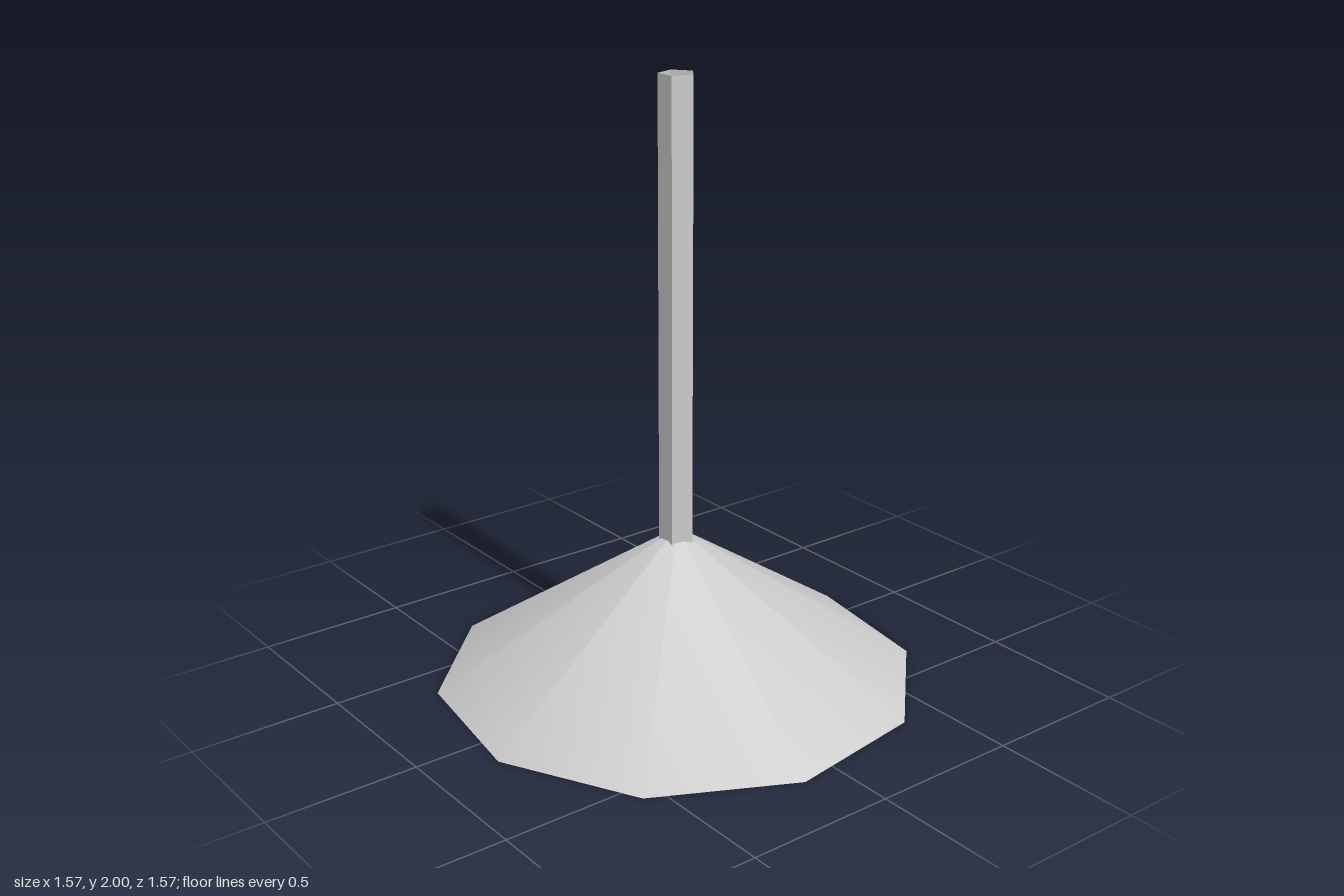
import * as THREE from 'three';

const SIDES = 10;
const START = -Math.PI / 4; // corner direction of the ten-sided shade

function add(group, name, geometry, options = {}) {
  const material = new THREE.MeshStandardMaterial({ color: 0xcccccc, ...options });
  const mesh = new THREE.Mesh(geometry, material);
  mesh.name = name;
  group.add(mesh);
  return mesh;
}

const lathe = (profile, sides, start) =>
  new THREE.LatheGeometry(profile.map(([r, y]) => new THREE.Vector2(r, y)), sides, start);

export function createModel() {
  const lamp = new THREE.Group();
  lamp.name = 'pendantLamp';

  // Smooth outer cone of the shade
  const height = 0.525;
  const outer = new THREE.ConeGeometry(0.796, height, SIDES, 1, true, START);
  outer.translate(0, height / 2, 0);
  add(lamp, 'shadeOuter', outer);

  // Faceted lining: ceiling, sloped inside and flat rim
  add(lamp, 'shadeLining',
    lathe([[0, 0.33], [0.225, 0.33], [0.73, 0], [0.796, 0]], SIDES, START),
    { flatShading: true });

  // Faceted bulb hanging from the ceiling
  add(lamp, 'bulb',
    lathe([[0, 0.12], [0.085, 0.12], [0.16, 0.18], [0.19, 0.26], [0.17, 0.335]], 8, Math.PI / 8),
    { flatShading: true });

  // Five-sided open stem
  const bottom = 0.42;
  const stem = new THREE.CylinderGeometry(0.059, 0.059, 2 - bottom, 5, 1, true, Math.PI / 2);
  stem.translate(0, (2 + bottom) / 2, 0);
  add(lamp, 'stem', stem, { flatShading: true, side: THREE.DoubleSide });

  return lamp;
}
